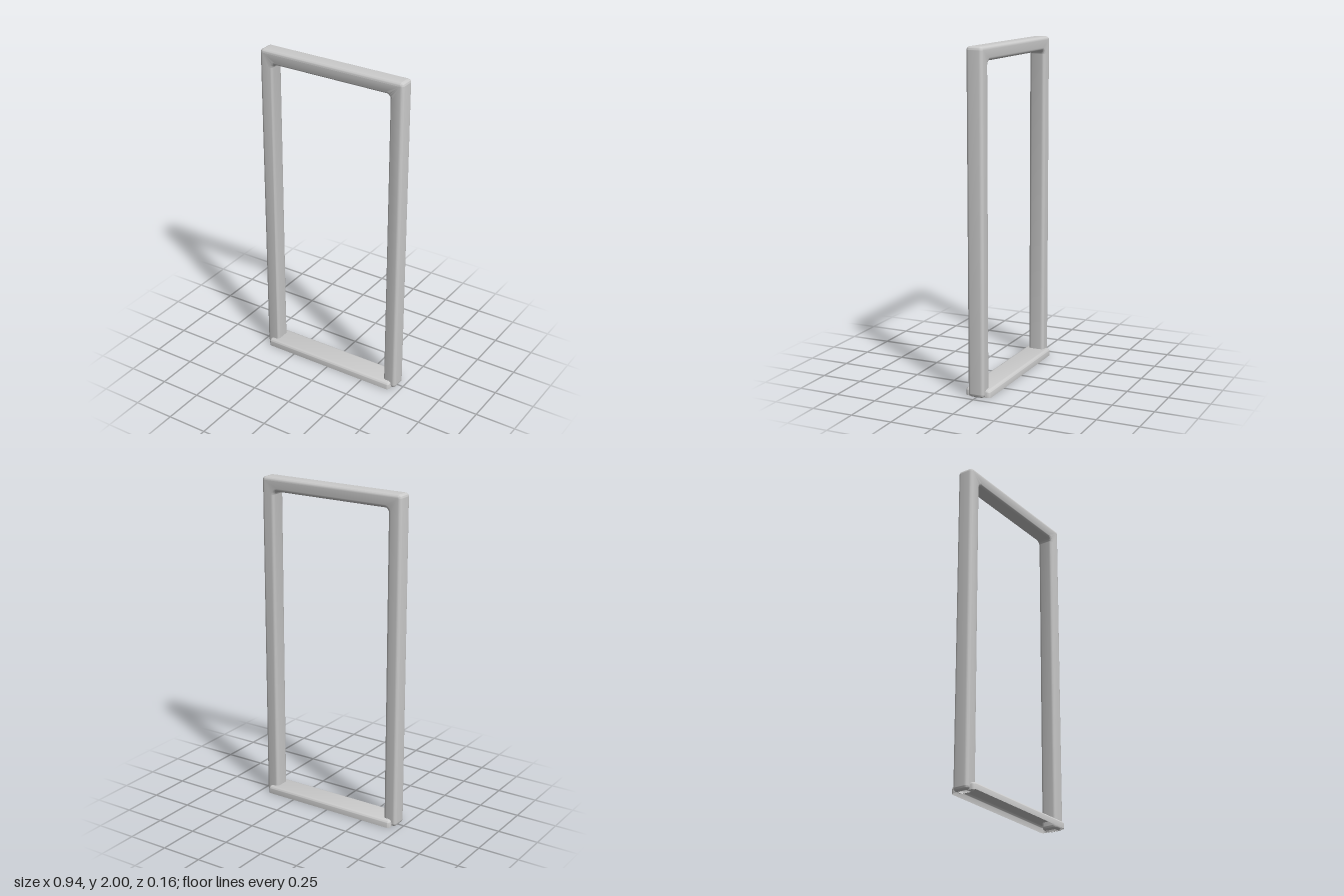
import * as THREE from 'three';
import { toCreasedNormals } from 'three/addons/utils/BufferGeometryUtils.js';
import { RoundedBoxGeometry } from 'three/addons/geometries/RoundedBoxGeometry.js';

const material = new THREE.MeshStandardMaterial({ color: 0xcccccc, side: THREE.DoubleSide });

// Clamp to the floor and drop every triangle lying flat on it
function openBottom(source) {
  const geometry = source.index ? source.toNonIndexed() : source;
  const p = geometry.attributes.position;
  const kept = [];
  for (let i = 0; i < p.count; i += 3) {
    const ys = [0, 1, 2].map((k) => Math.max(p.getY(i + k), 0));
    if (Math.max(...ys) < 1e-4) continue;
    ys.forEach((y, k) => kept.push(p.getX(i + k), y, p.getZ(i + k)));
  }
  const result = new THREE.BufferGeometry();
  result.setAttribute('position', new THREE.Float32BufferAttribute(kept, 3));
  return toCreasedNormals(result, 0.6);
}

// Closed outline with each corner rounded: [x, y, radius]
function roundedOutline(corners) {
  const shape = new THREE.Shape();
  const n = corners.length;
  corners.forEach(([x, y, r], i) => {
    const c = new THREE.Vector2(x, y);
    const toward = (j) => {
      const q = corners[(j + n) % n];
      return new THREE.Vector2(q[0], q[1]).sub(c).setLength(r);
    };
    const u = toward(i - 1), v = toward(i + 1);
    const a = c.clone().add(u), b = c.clone().add(v);
    const centre = a.clone().add(v);
    const start = Math.atan2(a.y - centre.y, a.x - centre.x);
    const end = Math.atan2(b.y - centre.y, b.x - centre.x);
    // Right-angle corners: left turns run counter-clockwise
    const clockwise = u.cross(v) > 0;
    if (i === 0) shape.moveTo(a.x, a.y);
    else shape.lineTo(a.x, a.y);
    shape.absarc(centre.x, centre.y, r, start, end, clockwise);
  });
  shape.closePath();
  return shape;
}

export function createModel() {
  const model = new THREE.Group();
  model.name = 'doorFrame';

  // Two jambs and a head in one soft-edged piece
  const X = 0.47, IX = 0.387, TOP = 2, HEAD = 1.917, R = 0.021, bevel = 0.02;
  const outline = roundedOutline([
    [-X, 0, R], [-IX, 0, R], [-IX, HEAD, 0.025], [IX, HEAD, 0.025],
    [IX, 0, R], [X, 0, R], [X, TOP, R], [-X, TOP, R],
  ]);
  const frameGeometry = new THREE.ExtrudeGeometry(outline, {
    depth: 0.1 - 2 * bevel,
    bevelEnabled: true,
    bevelThickness: bevel,
    bevelSize: bevel,
    bevelOffset: -bevel,
    bevelSegments: 5,
    curveSegments: 6,
  });
  frameGeometry.translate(0, 0, -0.05 + bevel);
  const frame = new THREE.Mesh(openBottom(frameGeometry), material);
  frame.name = 'jambsAndHead';
  model.add(frame);

  // Hollow threshold: upper half of a rounded box
  const sillGeometry = new RoundedBoxGeometry(0.886, 0.09, 0.158, 4, 0.02);
  const sill = new THREE.Mesh(openBottom(sillGeometry), material);
  sill.name = 'threshold';
  model.add(sill);

  return model;
}
